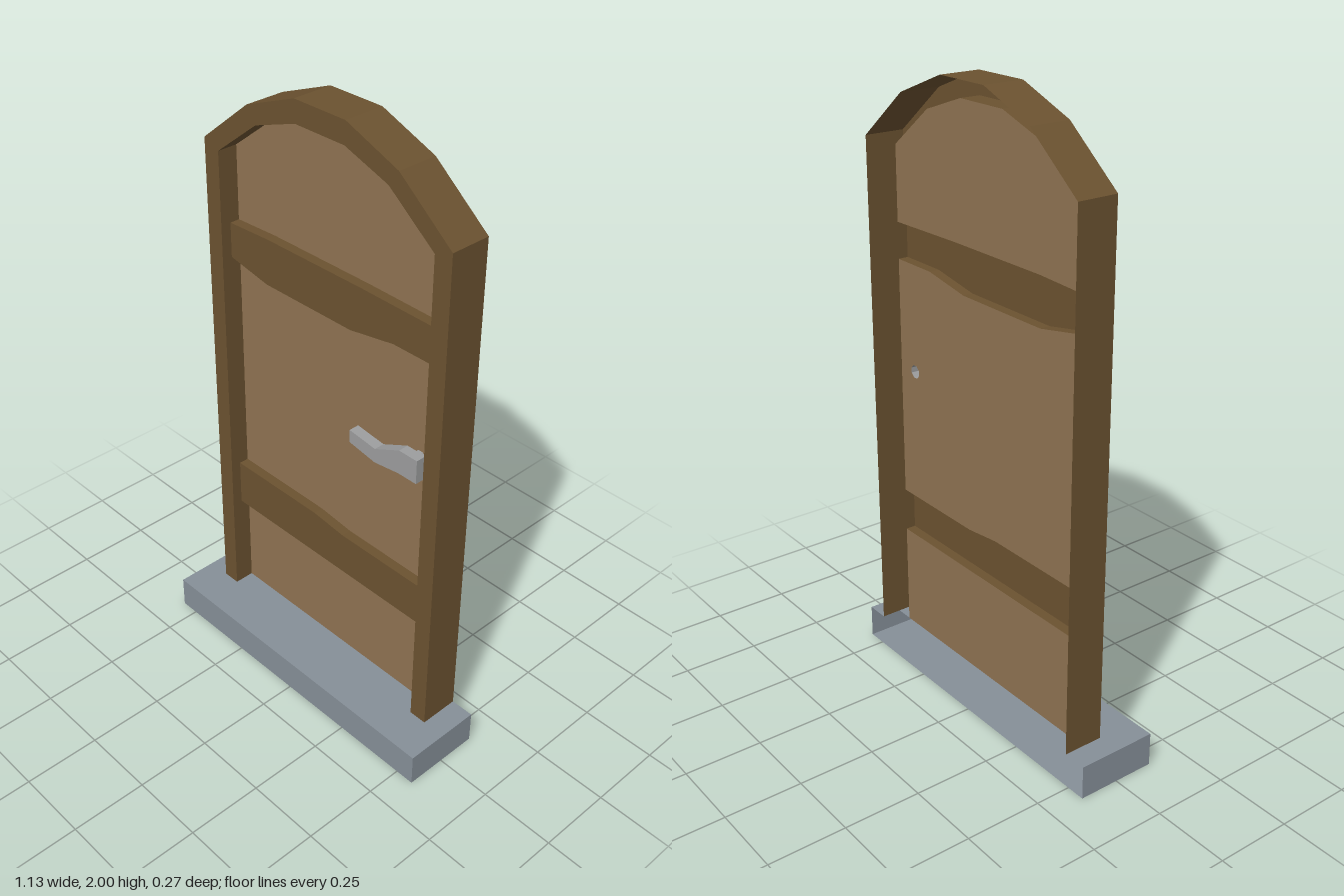
import * as THREE from 'three';
import { mergeGeometries } from 'three/addons/utils/BufferGeometryUtils.js';

const SILL = 0.11, BACK = -0.133, PANEL = -0.068, STRAP = -0.035;

const material = (color) =>
  new THREE.MeshStandardMaterial({ color, side: THREE.DoubleSide, flatShading: true });
const darkWood = material(0x6b5230);
const lightWood = material(0x8f7352);
const stone = material(0x868f98);
const metal = material(0x9c9d9e);

const vectors = (pts) => pts.map(([x, y]) => new THREE.Vector2(x, y));

// Flat face at depth z, with optional holes
function face(pts, z, holes = []) {
  const shape = new THREE.Shape(vectors(pts));
  shape.holes = holes.map((h) => new THREE.Path(vectors(h)));
  return new THREE.ShapeGeometry(shape).translate(0, 0, z).toNonIndexed();
}

// Side walls along a path, from depth z0 to z1; a counterclockwise path faces outward
function wall(pts, z0, z1, closed = false) {
  const pos = [], uv = [];
  const count = closed ? pts.length : pts.length - 1;
  for (let i = 0; i < count; i++) {
    const [ax, ay] = pts[i], [bx, by] = pts[(i + 1) % pts.length];
    pos.push(ax, ay, z0, bx, by, z0, bx, by, z1, ax, ay, z0, bx, by, z1, ax, ay, z1);
    uv.push(0, 0, 1, 0, 1, 1, 0, 0, 1, 1, 0, 1);
  }
  const g = new THREE.BufferGeometry();
  g.setAttribute('position', new THREE.Float32BufferAttribute(pos, 3));
  g.setAttribute('uv', new THREE.Float32BufferAttribute(uv, 2));
  g.computeVertexNormals();
  return g;
}

// Mirrors the right half of an arch into a full path, right foot to left foot
const arch = (half) => [...half, ...half.map(([x, y]) => [-x, y]).reverse()];

export function createModel() {
  const model = new THREE.Group();
  const add = (name, geometries, mat) => {
    const mesh = new THREE.Mesh(mergeGeometries(geometries), mat);
    mesh.name = name;
    model.add(mesh);
    return mesh;
  };

  // Stone doorstep, open at the back, notched behind the door
  const w = 0.563, d = 0.133, j = 0.485;
  const step = add('doorstep', [
    wall([[-w, d], [-w, -d], [w, -d], [w, d]], 0, SILL),
    face([[-w, -d], [w, -d], [w, d], [j, d], [j, -PANEL], [-j, -PANEL], [-j, d], [-w, d]], SILL),
    new THREE.PlaneGeometry(2 * w, 2 * d).rotateX(Math.PI).toNonIndexed(),
  ], stone);
  step.rotation.x = -Math.PI / 2;

  // Arched frame: front ring, deep outer wall, shallow inner wall
  const outer = arch([[0.485, SILL], [0.485, 1.77], [0.292, 1.925], [0.098, 2]]);
  const inner = arch([[0.425, SILL], [0.425, 1.745], [0.257, 1.875], [0.095, 1.93]]);
  const innerBack = [...inner].reverse();
  add('frame', [
    face([...outer, ...innerBack], 0),
    wall(outer, BACK, 0),
    wall(innerBack, PANEL, 0),
  ], darkWood);

  // Strap edges, each from left to right
  const e = 0.425;
  const lower = {
    bottom: [[-e, 0.455], [e, 0.455]],
    top: [[-e, 0.615], [-0.06, 0.615], [0.07, 0.6], [e, 0.6]],
  };
  const upper = {
    bottom: [[-e, 1.39], [-0.265, 1.36], [0.09, 1.36], [0.26, 1.39], [e, 1.39]],
    top: [[-e, 1.505], [-0.26, 1.512], [0.13, 1.512], [e, 1.507]],
  };

  // Raised straps, hollow from behind
  for (const [name, s] of [['lowerStrap', lower], ['upperStrap', upper]]) {
    const outline = [...s.bottom, ...[...s.top].reverse()];
    add(name, [face(outline, STRAP), wall(outline, PANEL, STRAP, true)], darkWood);
  }

  // Door panel in three fields between the straps, with a hole for the handle post
  const px = 0.35, py = 1.04, r = 0.022;
  const ring = Array.from({ length: 8 }, (_, i) => {
    const a = (i + 0.5) * Math.PI / 4;
    return [px + r * Math.cos(a), py + r * Math.sin(a)];
  });
  add('doorPanel', [
    face([[-e, SILL], [e, SILL], ...[...lower.bottom].reverse()], PANEL),
    face([...lower.top, ...[...upper.bottom].reverse()], PANEL, [ring]),
    face([...upper.top, ...inner.slice(1, -1)], PANEL),
  ], lightWood);

  // Bent lever handle on a hollow post
  const lever = [[0.125, 1.005], [0.23, 0.987], [0.325, 1.0], [0.395, 1.0],
    [0.395, 1.08], [0.325, 1.08], [0.23, 1.035], [0.125, 1.048]];
  add('handle', [
    face(lever, -0.005),
    face(lever, -0.04).rotateY(Math.PI).scale(-1, 1, -1),
    wall(lever, -0.04, -0.005, true),
  ], metal);
  add('handlePost', [wall(ring, PANEL, -0.04, true)], metal);

  return model;
}
